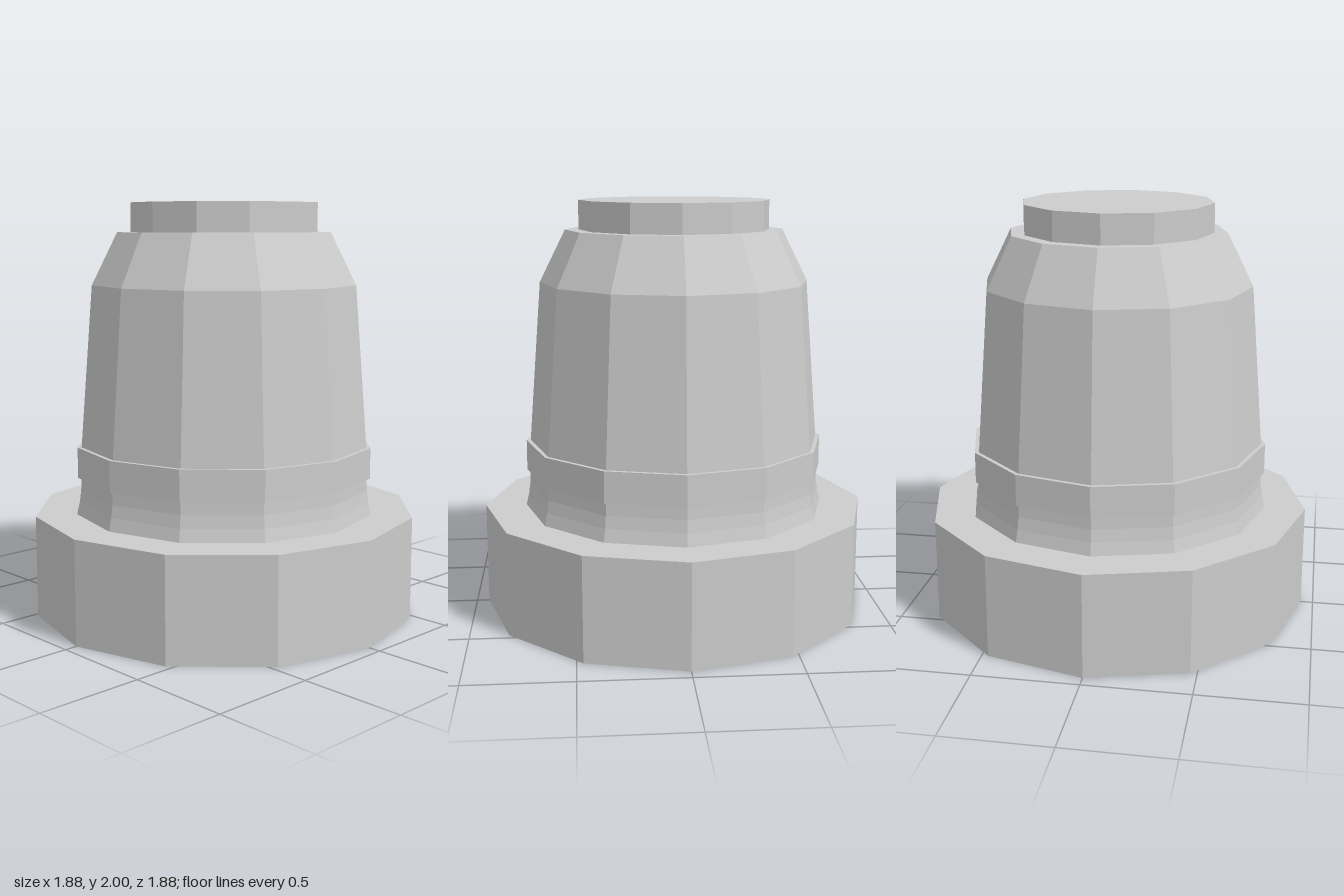
import * as THREE from 'three';

const SIDES = 12;

export function createModel() {
  const model = new THREE.Group();
  model.name = 'model';
  const grey = new THREE.MeshStandardMaterial({ color: 0xcccccc });
  grey.name = 'light grey';

  // Faceted solid of revolution from [radius, height] points, bottom to top
  function turned(name, rings) {
    const points = rings.map(([r, y]) => new THREE.Vector2(r, y));
    const geometry = new THREE.LatheGeometry(points, SIDES).toNonIndexed();
    geometry.computeVertexNormals();
    const mesh = new THREE.Mesh(geometry, grey);
    mesh.name = name;
    model.add(mesh);
  }

  // Wide foot, closed underneath
  turned('base', [[0, 0], [0.94, 0], [0.94, 0.5], [0.74, 0.5]]);

  // Flared neck rising from the foot
  turned('neck', [[0.74, 0.5], [0.726, 0.56], [0.718, 0.62], [0.716, 0.68]]);

  // Slightly proud band
  turned('collar', [[0.716, 0.68], [0.732, 0.68], [0.732, 0.83], [0.712, 0.83]]);

  // Tapering body with a sloped shoulder
  turned('body', [[0.712, 0.83], [0.65, 1.61], [0.525, 1.86], [0.46, 1.86]]);

  // Short flat-topped plug
  turned('cap', [[0.46, 1.86], [0.46, 2], [0, 2]]);

  return model;
}
